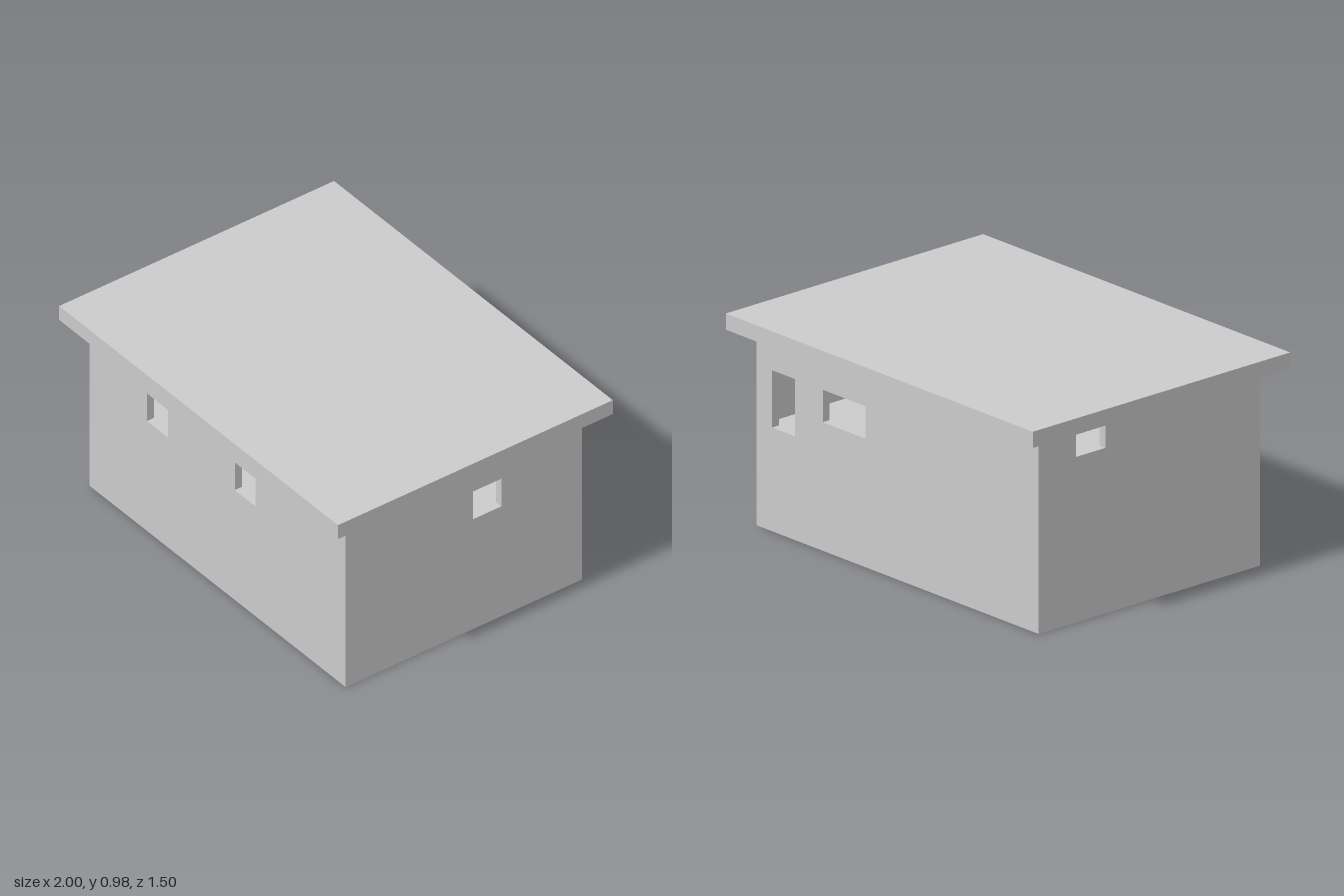
import * as THREE from 'three';

const X0 = -0.925, X1 = 0.91;   // outer wall faces
const Z0 = -0.65, Z1 = 0.64;
const T = 0.04;                 // wall thickness
const FLOOR = 0.48, WALL_TOP = 0.905, ROOF_TOP = 0.98;

const material = new THREE.MeshStandardMaterial({ color: 0xcccccc, flatShading: true });

function rectangle(Type, [a, b, bottom, top]) {
  const r = new Type();
  r.moveTo(a, bottom);
  r.lineTo(b, bottom);
  r.lineTo(b, top);
  r.lineTo(a, top);
  r.closePath();
  return r;
}

// Wall slab from a to b with rectangular openings [from, to, bottom, top]
function wallGeometry(a, b, openings) {
  const shape = rectangle(THREE.Shape, [a, b, 0, WALL_TOP]);
  for (const o of openings) shape.holes.push(rectangle(THREE.Path, o));
  return new THREE.ExtrudeGeometry(shape, { depth: T, bevelEnabled: false });
}

// Solid block between two corners
function blockGeometry(x0, x1, y0, y1, z0, z1) {
  return new THREE.BoxGeometry(x1 - x0, y1 - y0, z1 - z0)
    .translate((x0 + x1) / 2, (y0 + y1) / 2, (z0 + z1) / 2);
}

export function createModel() {
  const group = new THREE.Group();
  group.name = 'building';
  const add = (name, geometry) => {
    const mesh = new THREE.Mesh(geometry, material);
    mesh.name = name;
    group.add(mesh);
  };

  // Front wall: two square windows
  add('frontWall', wallGeometry(X0, X1, [
    [-0.515, -0.365, 0.595, 0.745],
    [0.115, 0.265, 0.595, 0.745],
  ]).translate(0, 0, Z1 - T));

  // Back wall: tall opening down to the floor and a wide window
  add('backWall', wallGeometry(X0, X1, [
    [0.66, 0.81, FLOOR, 0.745],
    [0.2, 0.48, 0.595, 0.745],
  ]).translate(0, 0, Z0));

  // Side walls fit between front and back; openings are given along -z
  const side = (openings) => wallGeometry(-(Z1 - T), -(Z0 + T), openings).rotateY(Math.PI / 2);
  add('leftWall', side([[0.055, 0.21, 0.595, 0.745]]).translate(X1 - T, 0, 0));
  add('rightWall', side([[0.26, 0.43, 0.765, 0.89]]).translate(X0, 0, 0));

  // Raised floor inside and overhanging flat roof
  add('floor', blockGeometry(X0 + T, X1 - T, 0, FLOOR, Z0 + T, Z1 - T));
  add('roof', blockGeometry(-1, 1, WALL_TOP, ROOF_TOP, -0.75, 0.75));

  return group;
}
